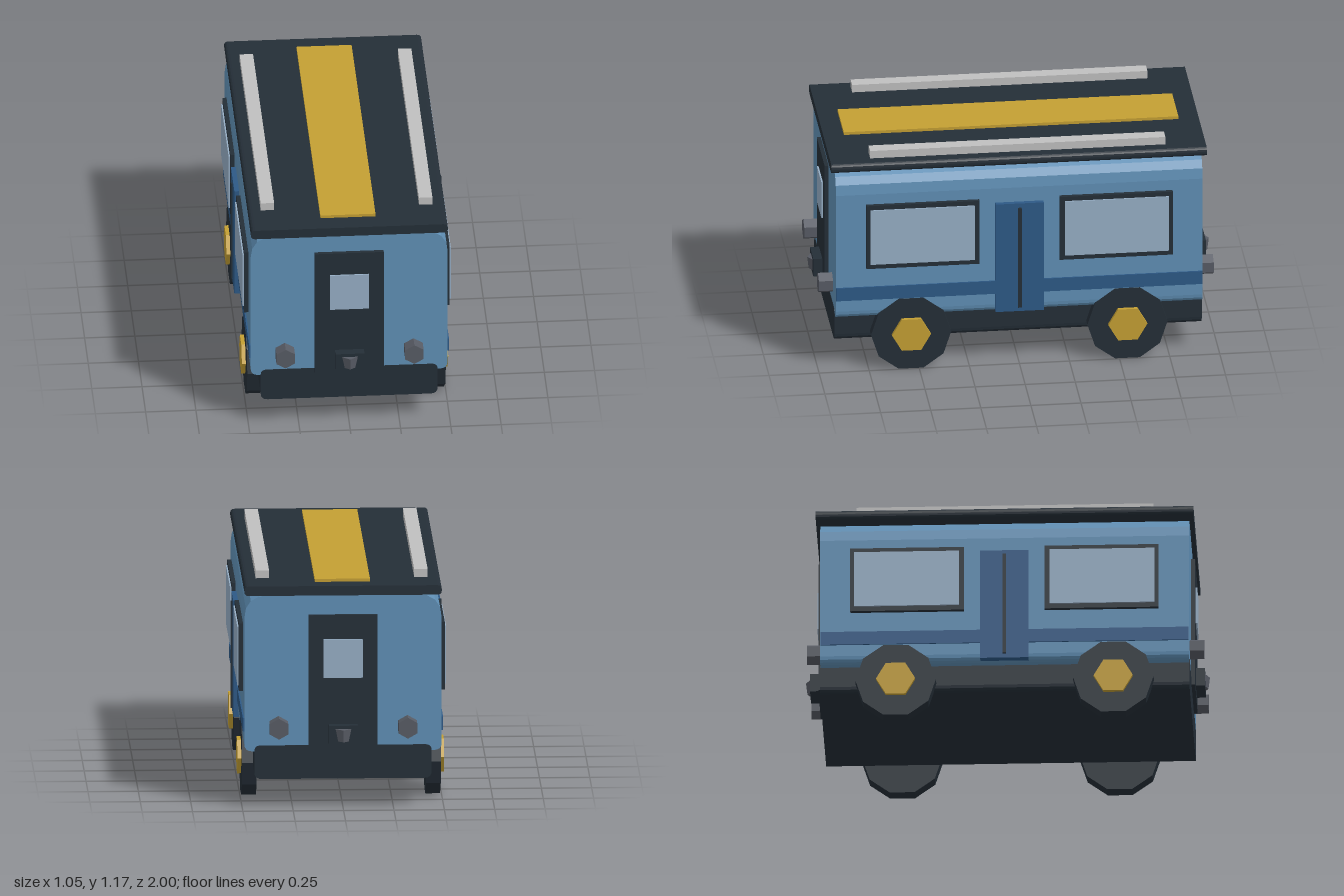
import * as THREE from 'three';

const mat = (name, color) => {
  const m = new THREE.MeshStandardMaterial({ color });
  m.name = name;
  return m;
};

export function createModel() {
  const group = new THREE.Group();
  group.name = 'trolleyVan';
  const bodyBlue = mat('bodyBlue', 0x5f8fb5);
  const deepBlue = mat('deepBlue', 0x2d5986);
  const dark = mat('darkSlate', 0x242e37);
  const gold = mat('gold', 0xc49f33);
  const silver = mat('silver', 0xbfbfbf);
  const glass = mat('glass', 0x96aec5);
  const grey = mat('lampGrey', 0x575b64);

  const add = (name, geometry, material, x = 0, y = 0, z = 0) => {
    const m = new THREE.Mesh(geometry, material);
    m.name = name;
    m.position.set(x, y, z);
    group.add(m);
    return m;
  };
  // box given by its limits on each axis
  const box = (name, material, x0, x1, y0, y1, z0, z1) =>
    add(name, new THREE.BoxGeometry(Math.abs(x1 - x0), y1 - y0, Math.abs(z1 - z0)), material,
      (x0 + x1) / 2, (y0 + y1) / 2, (z0 + z1) / 2);
  // profile with rounded corners, extruded along z
  const prism = (name, material, w, y0, y1, rBottom, rTopX, rTopY, halfZ) => {
    const s = new THREE.Shape();
    s.moveTo(-w + rBottom, y0);
    s.lineTo(w - rBottom, y0);
    s.quadraticCurveTo(w, y0, w, y0 + rBottom);
    s.lineTo(w, y1 - rTopY);
    s.quadraticCurveTo(w, y1, w - rTopX, y1);
    s.lineTo(-w + rTopX, y1);
    s.quadraticCurveTo(-w, y1, -w, y1 - rTopY);
    s.lineTo(-w, y0 + rBottom);
    s.quadraticCurveTo(-w, y0, -w + rBottom, y0);
    const g = new THREE.ExtrudeGeometry(s, { depth: halfZ * 2, bevelEnabled: false, curveSegments: 4 });
    g.translate(0, 0, -halfZ);
    return add(name, g, material);
  };

  // shell, chassis and roof
  prism('body', bodyBlue, 0.49, 0.285, 1.077, 0.04, 0.13, 0.12, 0.915);
  prism('chassis', dark, 0.44, 0.145, 0.315, 0.035, 0.03, 0.03, 0.917);
  prism('roof', dark, 0.49, 1.077, 1.125, 0.022, 0.022, 0.022, 0.937);
  box('roofStripe', gold, -0.137, 0.137, 1.125, 1.14, -0.835, 0.835);

  // side fittings, mirrored
  for (const s of [1, -1]) {
    box('roofRail', silver, s * 0.36, s * 0.427, 1.125, 1.165, -0.737, 0.737);
    box('beltStripe', deepBlue, s * 0.48, s * 0.497, 0.385, 0.455, -0.914, 0.914);
    box('sideDoor', deepBlue, s * 0.45, s * 0.514, 0.293, 0.88, -0.12, 0.12);
    box('doorSeam', dark, s * 0.5, s * 0.523, 0.315, 0.857, -0.009, 0.009);
    for (const e of [1, -1]) {
      box('windowFrame', dark, s * 0.48, s * 0.511, 0.56, 0.903, e * 0.2, e * 0.765);
      box('windowGlass', glass, s * 0.51, s * 0.518, 0.585, 0.88, e * 0.225, e * 0.745);

      // wheel with hub
      const tyre = new THREE.CylinderGeometry(0.2, 0.2, 0.073, 10).rotateZ(Math.PI / 2).toNonIndexed();
      tyre.computeVertexNormals();
      add('wheel', tyre, dark, s * 0.457, 0.19, e * 0.54);
      const hub = new THREE.CylinderGeometry(0.097, 0.097, 0.08, 6).rotateZ(Math.PI / 2).toNonIndexed();
      hub.computeVertexNormals();
      add('hub', hub, gold, s * 0.473, 0.19, e * 0.54);

      // hexagonal lamp
      const lamp = new THREE.CylinderGeometry(0.053, 0.053, 0.075, 6).rotateX(Math.PI / 2).toNonIndexed();
      lamp.computeVertexNormals();
      add('lamp', lamp, grey, s * 0.32, 0.411, e * 0.948);
    }
  }

  // end doors and couplers, the same at both ends
  for (const e of [1, -1]) {
    box('endDoor', dark, -0.171, 0.171, 0.29, 0.977, e * 0.9, e * 0.935);
    box('endWindow', glass, -0.097, 0.097, 0.66, 0.855, e * 0.934, e * 0.943);
    box('couplerPlate', dark, -0.072, 0.072, 0.33, 0.425, e * 0.93, e * 0.98);
    const knob = new THREE.CylinderGeometry(0.047, 0.047, 0.062, 6).toNonIndexed();
    knob.computeVertexNormals();
    const k = add('couplerKnob', knob, grey, 0, 0.38, e * 0.952);
    k.rotation.x = e * 0.12;
  }
  return group;
}
